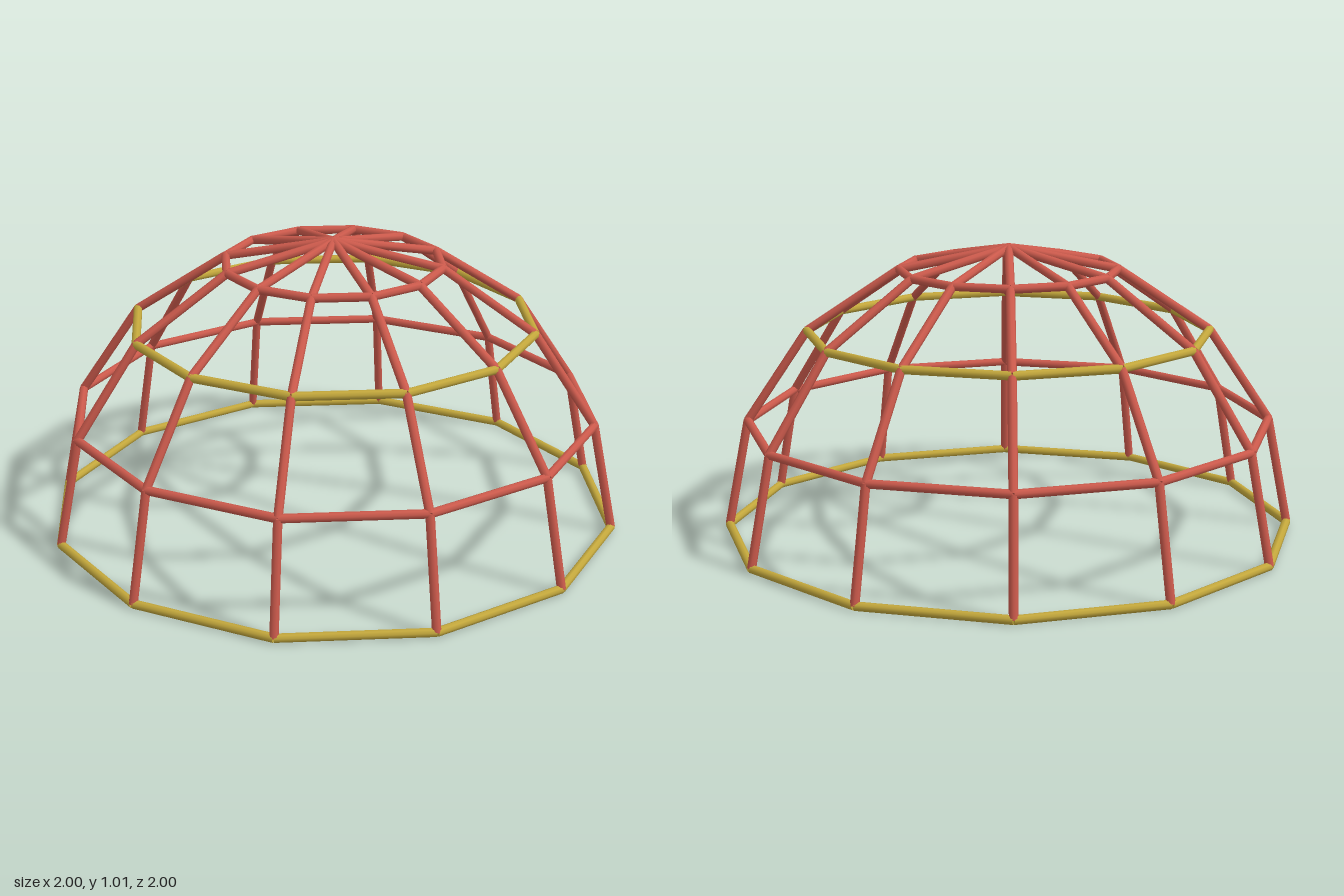
import * as THREE from 'three';

const SIDES = 12;      // ribs around the dome
const LEVELS = 4;      // bar segments from base to apex
const RADIUS = 0.985;  // dome radius to bar centres
const BAR = 0.015;     // bar radius

// Joint on the dome at a level (0 = base, LEVELS = apex) and a rib index
function joint(level, rib) {
  const lat = (level / LEVELS) * Math.PI / 2;
  const lon = (rib / SIDES) * Math.PI * 2;
  const r = RADIUS * Math.cos(lat);
  return new THREE.Vector3(r * Math.sin(lon), BAR + RADIUS * Math.sin(lat), r * Math.cos(lon));
}

// Straight round bar between two joints
function bar(a, b, material, name) {
  const dir = b.clone().sub(a);
  const mesh = new THREE.Mesh(new THREE.CylinderGeometry(BAR, BAR, dir.length(), 8), material);
  mesh.position.copy(a).add(b).multiplyScalar(0.5);
  mesh.quaternion.setFromUnitVectors(new THREE.Vector3(0, 1, 0), dir.normalize());
  mesh.name = name;
  return mesh;
}

export function createModel() {
  const red = new THREE.MeshStandardMaterial({ color: 0xcc5a4c });
  red.name = 'red paint';
  const yellow = new THREE.MeshStandardMaterial({ color: 0xc4a83c });
  yellow.name = 'yellow paint';

  const model = new THREE.Group();
  model.name = 'climbingDome';

  // Horizontal rings, alternating yellow and red from the ground up
  for (let level = 0; level < LEVELS; level++) {
    const ring = new THREE.Group();
    ring.name = level === 0 ? 'baseRing' : `ring${level}`;
    for (let i = 0; i < SIDES; i++) {
      ring.add(bar(joint(level, i), joint(level, i + 1), level % 2 ? red : yellow, 'ringBar'));
    }
    model.add(ring);
  }

  // Ribs rising from the base to the apex
  for (let i = 0; i < SIDES; i++) {
    const rib = new THREE.Group();
    rib.name = `rib${i + 1}`;
    for (let level = 0; level < LEVELS; level++) {
      rib.add(bar(joint(level, i), joint(level + 1, i), red, 'ribBar'));
    }
    model.add(rib);
  }

  return model;
}
